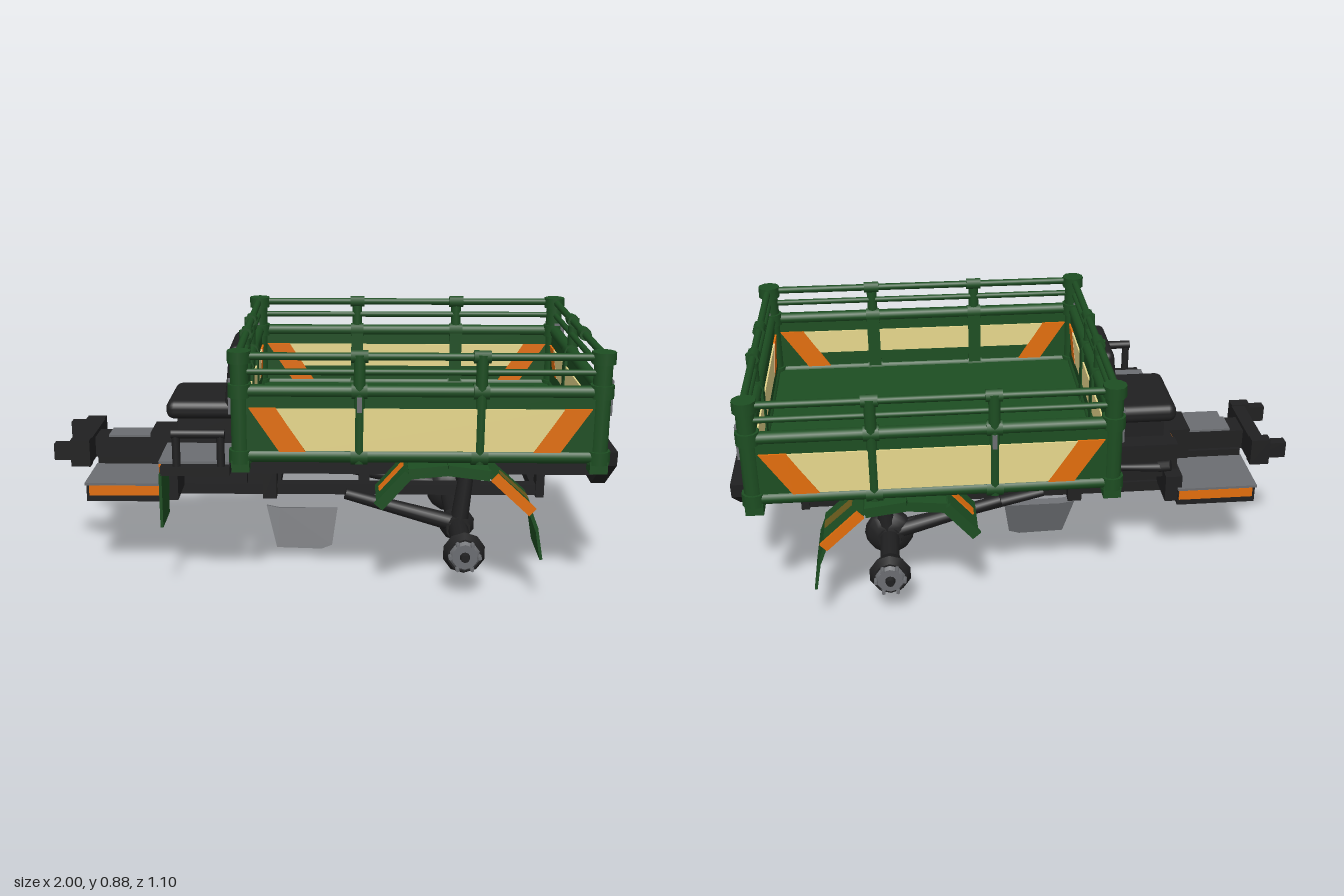
import * as THREE from 'three';
import { RoundedBoxGeometry } from 'three/addons/geometries/RoundedBoxGeometry.js';

const paint = (name, color) => {
  const m = new THREE.MeshStandardMaterial({ color, side: THREE.DoubleSide });
  m.name = name;
  return m;
};

export function createModel() {
  const green = paint('bed green', 0x1d4e22), dark = paint('chassis black', 0x202021);
  const grey = paint('metal grey', 0x6b6d71), cream = paint('panel cream', 0xebdb8f);
  const orange = paint('marker orange', 0xe26e0c), olive = paint('faded marker', 0x6a5a1c);
  const model = new THREE.Group();
  model.name = 'cargoTruckFrame';

  const add = (parent, name, geo, mat, x = 0, y = 0, z = 0) => {
    const m = new THREE.Mesh(geo, mat);
    m.name = name;
    m.position.set(x, y, z);
    parent.add(m);
    return m;
  };
  // box given by its limits
  const box = (name, mat, x0, x1, y0, y1, z0, z1, parent = model) =>
    add(parent, name, new THREE.BoxGeometry(x1 - x0, y1 - y0, z1 - z0), mat, (x0 + x1) / 2, (y0 + y1) / 2, (z0 + z1) / 2);
  // round bar between two points
  const bar = (name, mat, a, b, r0, r1 = r0, parent = model, sides = 10) => {
    const p = new THREE.Vector3(...a), q = new THREE.Vector3(...b), d = q.clone().sub(p);
    const m = add(parent, name, new THREE.CylinderGeometry(r1, r0, d.length(), sides), mat);
    m.position.copy(p).add(q).multiplyScalar(0.5);
    m.quaternion.setFromUnitVectors(new THREE.Vector3(0, 1, 0), d.normalize());
    return m;
  };
  // flat sheet running between two points of the xy plane
  const sheet = (name, mat, a, b, z0, z1, t, parent = model) => {
    const dx = b[0] - a[0], dy = b[1] - a[1];
    const m = add(parent, name, new THREE.BoxGeometry(Math.hypot(dx, dy), t, z1 - z0), mat,
      (a[0] + b[0]) / 2, (a[1] + b[1]) / 2, (z0 + z1) / 2);
    m.rotation.z = Math.atan2(dy, dx);
    return m;
  };
  const prism = (pts, depth) => new THREE.ExtrudeGeometry(
    new THREE.Shape(pts.map(p => new THREE.Vector2(...p))), { depth, bevelEnabled: false });

  // ---- cargo bed: one wall, outside towards local +z
  const wall = (name, half, posts, x, z, turn, y0) => {
    const g = new THREE.Group();
    g.name = name;
    box('wallBoard', green, -half, half, 0.51, 0.76, -0.014, 0.014, g);
    for (const [y, r] of [[0.525, 0.024], [0.745, 0.022], [0.81, 0.011], [0.862, 0.013]])
      bar('wallRail', green, [-half, y, 0], [half, y, 0], r, r, g);
    const top = half - 0.125, low = half - 0.222;
    for (const [zc, yc] of [[-0.017, 0.6], [0.017, y0]]) {
      const foot = top + (low - top) * (0.69 - yc) / (0.69 - y0);
      add(g, 'creamPanel', prism([[-foot, yc], [foot, yc], [top, 0.69], [-top, 0.69]], 0.006), cream, 0, 0, zc - 0.003);
      for (const s of [-1, 1]) {
        const stripe = [[top, 0.692], [half - 0.035, 0.692], [half - 0.135, y0 - 0.003], [low, y0 - 0.003]];
        add(g, 'cornerStripe', prism(stripe.map(p => [p[0] * s, p[1]]), 0.008), orange, 0, 0, zc - 0.004);
      }
    }
    for (const p of posts) {
      bar('wallPost', green, [p, 0.5, 0.006], [p, 0.87, 0.006], 0.02, 0.02, g);
      box('innerRib', green, p - 0.024, p + 0.024, 0.53, 0.74, -0.024, -0.01, g);
      bar('postBracket', green, [p - 0.028, 0.862, 0], [p + 0.028, 0.862, 0], 0.022, 0.022, g, 8);
      bar('postClip', green, [p - 0.026, 0.745, 0], [p + 0.026, 0.745, 0], 0.028, 0.028, g, 8);
      bar('postFoot', green, [p - 0.028, 0.523, 0], [p + 0.028, 0.523, 0], 0.03, 0.03, g, 8);
    }
    g.position.set(x, 0, z);
    g.rotation.y = turn;
    model.add(g);
    return g;
  };
  box('bedFloor', green, -0.3, 0.9, 0.505, 0.53, -0.5, 0.5);
  wall('frontSideWall', 0.6, [-0.2, 0.2], 0.305, 0.5, 0, 0.545);
  wall('backSideWall', 0.6, [-0.2, 0.2], 0.305, -0.505, Math.PI, 0.545);
  const tail = wall('tailWall', 0.5, [0.12], 0.905, 0, Math.PI / 2, 0.6);
  bar('railBracket', green, [-0.15, 0.862, 0], [-0.09, 0.862, 0], 0.022, 0.022, tail, 8);
  for (const x of [-0.34, 0.35])
    add(tail, 'fadedSpot', new THREE.CylinderGeometry(0.045, 0.045, 0.006, 14), olive, x, 0.575, 0.016)
      .rotateX(Math.PI / 2).scale.z = 0.55;
  wall('headWall', 0.5, [-0.12, 0.12], -0.295, 0, -Math.PI / 2, 0.6);

  // corner posts with collars, feet and grey latches
  for (const x of [-0.29, 0.9]) for (const z of [-0.5, 0.495]) {
    const out = Math.sign(x), s = Math.sign(z);
    bar('cornerPost', green, [x, 0.48, z], [x, 0.875, z], 0.031);
    for (const [y0, y1] of [[0.84, 0.88], [0.725, 0.77], [0.5, 0.545]])
      bar('cornerCollar', green, [x, y0, z], [x, y1, z], 0.04);
    box('cornerFoot', green, x - 0.03, x + 0.03, 0.47, 0.51, z - 0.03, z + 0.03);
    box('cornerLatch', grey, x + out * 0.02 - 0.02, x + out * 0.02 + 0.02, 0.66, 0.78, z - s * 0.02 - 0.011, z - s * 0.02 + 0.011);
  }
  // small latches on the side posts
  for (const s of [-1, 1])
    box('postLatch', grey, 0.097, 0.113, 0.68, 0.73, s * 0.53 - 0.005, s * 0.53 + 0.004);

  // ---- chassis ladder
  for (const s of [-1, 1]) {
    box('mainRail', dark, -0.58, 0.95, 0.37, 0.5, s * 0.2 - 0.03, s * 0.2 + 0.03);
    box('lowerRail', dark, -0.6, 0.78, 0.265, 0.305, s * 0.13 - 0.022, s * 0.13 + 0.022);
    box('rearHanger', dark, 0.755, 0.785, 0.26, 0.38, s * 0.13 - 0.03, s * 0.13 + 0.03);
    box('frontHanger', dark, -0.24, -0.19, 0.26, 0.4, s * 0.15 - 0.04, s * 0.15 + 0.04);
    box('middleHanger', dark, 0.48, 0.55, 0.28, 0.4, s * 0.16 - 0.03, s * 0.16 + 0.03);
    bar('trailingArm', dark, [0.06, 0.285, s * 0.2], [0.47, 0.17, s * 0.2], 0.02, 0.032);
    bar('shockAbsorber', dark, [0.5, 0.4, s * 0.2], [0.47, 0.14, s * 0.2], 0.026, 0.034);
  }
  for (const x of [-0.5, -0.2, 0.1, 0.4, 0.62, 0.82])
    box('crossMember', dark, x - 0.03, x + 0.03, 0.38, 0.45, -0.2, 0.2);
  for (const x of [-0.2, 0.13, 0.5, 0.76])
    box('lowerCrossMember', dark, x - 0.02, x + 0.02, 0.265, 0.3, -0.14, 0.14);
  for (const x of [-0.22, 0.1, 0.5, 0.85])
    box('bedSupport', dark, x - 0.025, x + 0.025, 0.46, 0.506, -0.33, 0.33);
  // rear bumper
  add(model, 'rearBumper', prism([[-0.375, 0.5], [-0.37, 0.45], [-0.2, 0.33], [0.2, 0.33], [0.37, 0.45], [0.375, 0.5]], 0.05),
    dark, 0.945).rotation.y = Math.PI / 2;
  box('towBlock', dark, 0.88, 0.96, 0.36, 0.45, -0.16, 0.16);

  // ---- rear axle
  bar('axleTube', dark, [0.47, 0.16, -0.46], [0.47, 0.16, 0.46], 0.036);
  for (const s of [-1, 1]) {
    bar('axleCollar', dark, [0.47, 0.16, s * 0.17], [0.47, 0.16, s * 0.23], 0.065, 0.045);
    bar('hubFlare', dark, [0.47, 0.16, s * 0.38], [0.47, 0.16, s * 0.455], 0.038, 0.075);
    bar('hubCone', dark, [0.47, 0.16, s * 0.455], [0.47, 0.16, s * 0.485], 0.075, 0.06);
    bar('hubFace', grey, [0.47, 0.16, s * 0.48], [0.47, 0.16, s * 0.498], 0.057, 0.045);
    bar('hubCentre', dark, [0.47, 0.16, s * 0.49], [0.47, 0.16, s * 0.515], 0.02, 0.014);
    for (let i = 0; i < 6; i++) {
      const a = i * Math.PI / 3, x = 0.47 + 0.05 * Math.cos(a), y = 0.16 + 0.05 * Math.sin(a);
      bar('wheelStud', grey, [x, y, s * 0.47], [x, y, s * 0.51], 0.009, 0.007, model, 6);
    }
  }
  add(model, 'differential', new THREE.SphereGeometry(0.09, 12, 8), dark, 0.47, 0.17, -0.19).scale.z = 0.5;
  bar('driveShaft', dark, [-0.1, 0.295, -0.17], [0.42, 0.19, -0.19], 0.018, 0.028);

  // ---- rear mudguards and flaps
  const arch = [[0.17, 0.36], [0.27, 0.475], [0.4, 0.488], [0.54, 0.47], [0.68, 0.345]];
  for (const s of [-1, 1]) {
    const range = (a, b) => s > 0 ? [a, b] : [-b, -a];
    for (let i = 0; i < 4; i++) sheet('mudguard', green, arch[i], arch[i + 1], ...range(0.34, 0.54), 0.018);
    for (let i = 0; i < 3; i++) sheet('mudguardLip', green, arch[i], arch[i + 1], ...range(0.535, 0.551), 0.036);
    sheet('mudguardStripe', orange, [0.555, 0.464], [0.685, 0.343], ...range(0.54, 0.552), 0.034);
    sheet('rearMarker', olive, [0.585, 0.441], [0.682, 0.354], ...range(0.4, 0.445), 0.008);
    sheet('frontMarker', orange, [0.176, 0.383], [0.256, 0.475], ...range(0.41, 0.45), 0.008);
    sheet('mudflapTop', green, [0.675, 0.352], [0.702, 0.28], ...range(0.34, 0.545), 0.012);
    sheet('mudflap', green, [0.702, 0.285], [0.722, 0.17], ...range(0.34, 0.54), 0.01);
  }

  // hanging plate under the chassis
  add(model, 'hangingPlate', prism([[-0.24, 0.165], [-0.19, 0.155], [0.03, 0.155], [0.01, 0.015], [-0.03, 0], [-0.2, 0.005]], 0.03),
    grey, 0, 0, 0.015).rotation.x = -0.25;

  // ---- front foot platforms
  for (const s of [-1, 1]) {
    const z0 = s > 0 ? 0.07 : -0.295, z1 = z0 + 0.225;
    box('footPlatform', dark, -0.86, -0.575, 0.285, 0.345, z0, z1);
    box('footPlatformTop', grey, -0.865, -0.575, 0.345, 0.354, z0 - 0.005, z1 + 0.005);
    box('footPlatformStripe', orange, -0.85, -0.58, 0.308, 0.344, s * 0.295 - 0.004, s * 0.295 + 0.004);
  }
  box('platformBeam', dark, -0.87, -0.3, 0.275, 0.32, -0.1, 0.1);
  box('platformCrossBar', dark, -0.59, -0.53, 0.3, 0.4, -0.29, 0.32);
  // centre column and front bumper
  box('centreColumn', dark, -0.9, -0.56, 0.375, 0.45, -0.055, 0.055);
  box('columnCover', grey, -0.82, -0.65, 0.45, 0.458, -0.05, 0.05);
  box('columnClamp', dark, -0.66, -0.57, 0.33, 0.475, -0.075, 0.075);
  box('columnBase', dark, -0.86, -0.6, 0.33, 0.38, -0.07, 0.07);
  box('frontBumper', dark, -0.92, -0.87, 0.375, 0.465, -0.16, 0.15);
  for (const z of [-0.155, 0.14]) {
    box('bumperArm', dark, -1, -0.87, 0.395, 0.455, z - 0.02, z + 0.02);
    box('bumperFork', dark, -0.94, -0.87, 0.37, 0.47, z - 0.022, z + 0.022);
  }

  // ---- engine housing and driver seat
  box('engineHousing', dark, -0.58, -0.3, 0.3, 0.48, -0.14, 0.15);
  box('gearbox', dark, -0.35, -0.23, 0.265, 0.38, -0.11, 0.11);
  box('seatBase', dark, -0.55, -0.33, 0.47, 0.56, -0.12, 0.13);
  box('housingStripe', orange, -0.588, -0.58, 0.43, 0.465, -0.13, 0.16);
  add(model, 'seatCushion', new RoundedBoxGeometry(0.28, 0.07, 0.31, 3, 0.03), dark, -0.45, 0.58, 0);
  const back = add(model, 'seatBack', new RoundedBoxGeometry(0.055, 0.25, 0.28, 3, 0.025), dark, -0.34, 0.695, 0.015);
  back.rotation.z = -0.1;

  // side step with mud sheet and handrail
  box('sideStep', dark, -0.565, -0.33, 0.445, 0.475, 0.15, 0.49);
  box('sideStepTop', grey, -0.575, -0.335, 0.475, 0.484, 0.16, 0.45);
  box('frontMudSheet', green, -0.57, -0.56, 0.26, 0.45, 0.335, 0.49);
  box('frontMudSheetInner', green, -0.57, -0.56, 0.33, 0.45, 0.19, 0.335);
  box('stepStripe', orange, -0.574, -0.565, 0.445, 0.474, 0.16, 0.45);
  for (const x of [-0.51, -0.36]) bar('handrailLeg', dark, [x, 0.46, 0.47], [x, 0.585, 0.47], 0.014);
  bar('handrailTop', dark, [-0.525, 0.588, 0.47], [-0.345, 0.588, 0.47], 0.016);
  box('stepBracket', dark, -0.5, -0.34, 0.4, 0.45, 0.15, 0.3);
  // far side lever and support bar
  bar('sideLever', dark, [-0.5, 0.47, -0.335], [-0.33, 0.475, -0.33], 0.018, 0.012);
  bar('leverKnob', dark, [-0.53, 0.48, -0.345], [-0.49, 0.47, -0.33], 0.02);
  bar('supportBar', dark, [-0.56, 0.45, -0.2], [-0.3, 0.47, -0.2], 0.02);
  for (const z of [-0.34, 0.34]) box('bedMount', orange, -0.31, -0.27, 0.465, 0.5, z - 0.02, z + 0.02);
  return model;
}
